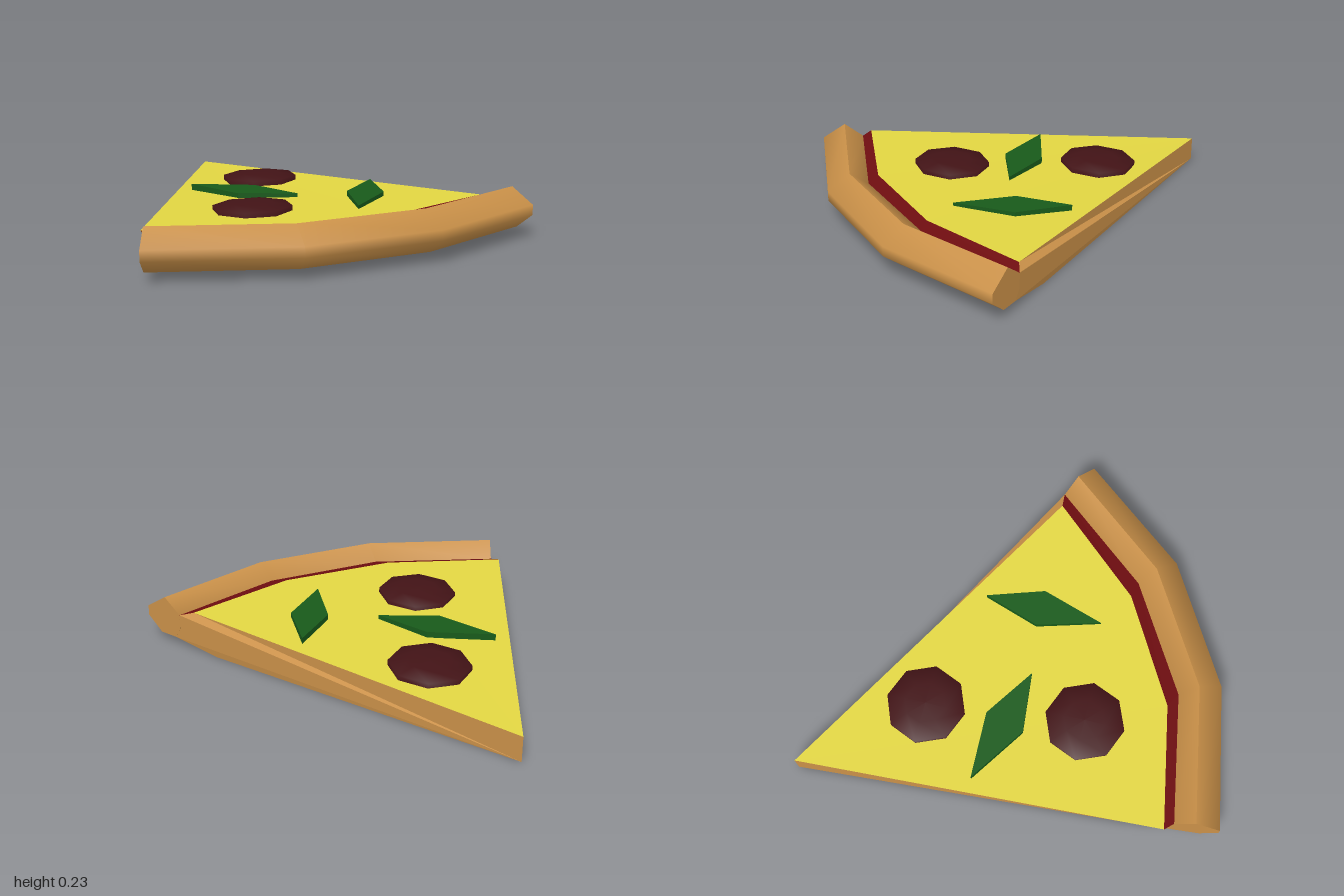
import * as THREE from 'three';
import { toCreasedNormals } from 'three/addons/utils/BufferGeometryUtils.js';

const mat = (color, flatShading = false) => new THREE.MeshStandardMaterial({ color, flatShading });
const CRUST = 0xc99048, CHEESE = 0xe2d642, SAUCE = 0x6e0d10, SALAMI = 0x421316, LEAF = 0x185a1a;

// Geometry from a list of convex polygons, each cut into a fan
function fromPolygons(polygons) {
  const v = [];
  for (const p of polygons)
    for (let i = 1; i < p.length - 1; i++) v.push(...p[0], ...p[i], ...p[i + 1]);
  const g = new THREE.BufferGeometry();
  g.setAttribute('position', new THREE.Float32BufferAttribute(v, 3));
  g.computeVertexNormals();
  return g;
}

// Quads between two rows of matching points
const strip = (a, b) => a.slice(0, -1).map((p, i) => [p, b[i], b[i + 1], a[i + 1]]);
const flip = (polygons) => polygons.map((p) => [...p].reverse());

export function createModel() {
  const model = new THREE.Group();
  model.name = 'pizzaSlice';
  const add = (name, geometry, material) => {
    const m = new THREE.Mesh(geometry, material);
    m.name = name;
    model.add(m);
    return m;
  };

  // Plan outlines (x, z), left end to right end of the arc
  const outer = [[-0.76, 1], [-0.08, 0.87], [0.49, 0.53], [0.9, 0.015]];
  const inner = [[-0.78, 0.79], [-0.17, 0.68], [0.34, 0.37], [0.72, -0.095]];
  const edge = [[-0.82, 0.75], [-0.24, 0.64], [0.26, 0.35], [0.65, -0.09]];
  const tip = [-0.91, -1];
  const mix = (a, b, t, y) => [a[0] + (b[0] - a[0]) * t, y, a[1] + (b[1] - a[1]) * t];

  const tipTop = [tip[0], 0.12, tip[1]], tipBottom = [tip[0], 0, tip[1]];
  const cheeseRow = edge.map((p) => [p[0], 0.18, p[1]]);
  const sauceRow = inner.map((p) => [p[0], 0.165, p[1]]);
  const joinRow = inner.map((p, i) => mix(p, outer[i], 0.16, 0.04));
  const bottomRow = outer.map((p) => mix(tip, p, 0.79, 0));

  // Dough: flat underside, sloped underside and two cut sides
  const side = (i) => [tipBottom, tipTop, cheeseRow[i], sauceRow[i], joinRow[i], bottomRow[i]];
  add('dough', fromPolygons([
    ...flip([[tipBottom, ...bottomRow], ...strip(bottomRow, joinRow), side(0)]),
    side(3),
  ]), mat(CRUST, true));

  // Cheese top and the sauce showing beside the crust
  add('cheese', fromPolygons([[tipTop, ...cheeseRow]]), mat(CHEESE));
  add('sauce', fromPolygons(strip(cheeseRow, sauceRow)), mat(SAUCE, true));

  // Crust: one cross-section (inward to outward, height) swept along the arc
  const profile = [[0, 0.165], [0.45, 0.235], [1, 0.16], [1, 0.11], [0.6, 0.04], [0.16, 0.04], [0, 0.09]];
  const sections = inner.map((p, i) => profile.map(([t, y]) => mix(p, outer[i], t, y)));
  const faces = [[...sections[0]].reverse(), sections[3]];
  profile.forEach((_, k) => {
    const next = (k + 1) % profile.length;
    faces.push(...strip(sections.map((s) => s[k]), sections.map((s) => s[next])));
  });
  add('crust', toCreasedNormals(fromPolygons(faces), 1.05), mat(CRUST));

  // Salami: shallow eight-sided domes tilted with the cheese
  const dome = [[0.19, -0.02], [0.19, 0.022], [0.1, 0.036], [0, 0.04]].map((p) => new THREE.Vector2(...p));
  [[-0.505, 0.146, -0.47], [-0.41, 0.167, 0.28]].forEach((p, i) => {
    const m = add('salami' + (i + 1), new THREE.LatheGeometry(dome, 8), mat(SALAMI));
    m.position.set(...p);
    m.rotation.set(-0.035, 0, 0.025);
  });

  // Basil: thin diamond leaves
  const leaves = [
    { y: 0.18, pts: [[-0.8, -0.17], [-0.53, 0.01], [-0.24, -0.02], [-0.48, -0.18]] },
    { y: 0.19, pts: [[0.09, -0.33], [0, -0.06], [0.085, 0.24], [0.18, -0.06]] },
  ];
  leaves.forEach(({ y, pts }, i) => {
    const shape = new THREE.Shape(pts.map(([x, z]) => new THREE.Vector2(x, -z)));
    const g = new THREE.ExtrudeGeometry(shape, { depth: 0.05, bevelEnabled: false });
    g.rotateX(-Math.PI / 2).translate(0, y - 0.05, 0);
    add('leaf' + (i + 1), g, mat(LEAF, true));
  });

  return model;
}
